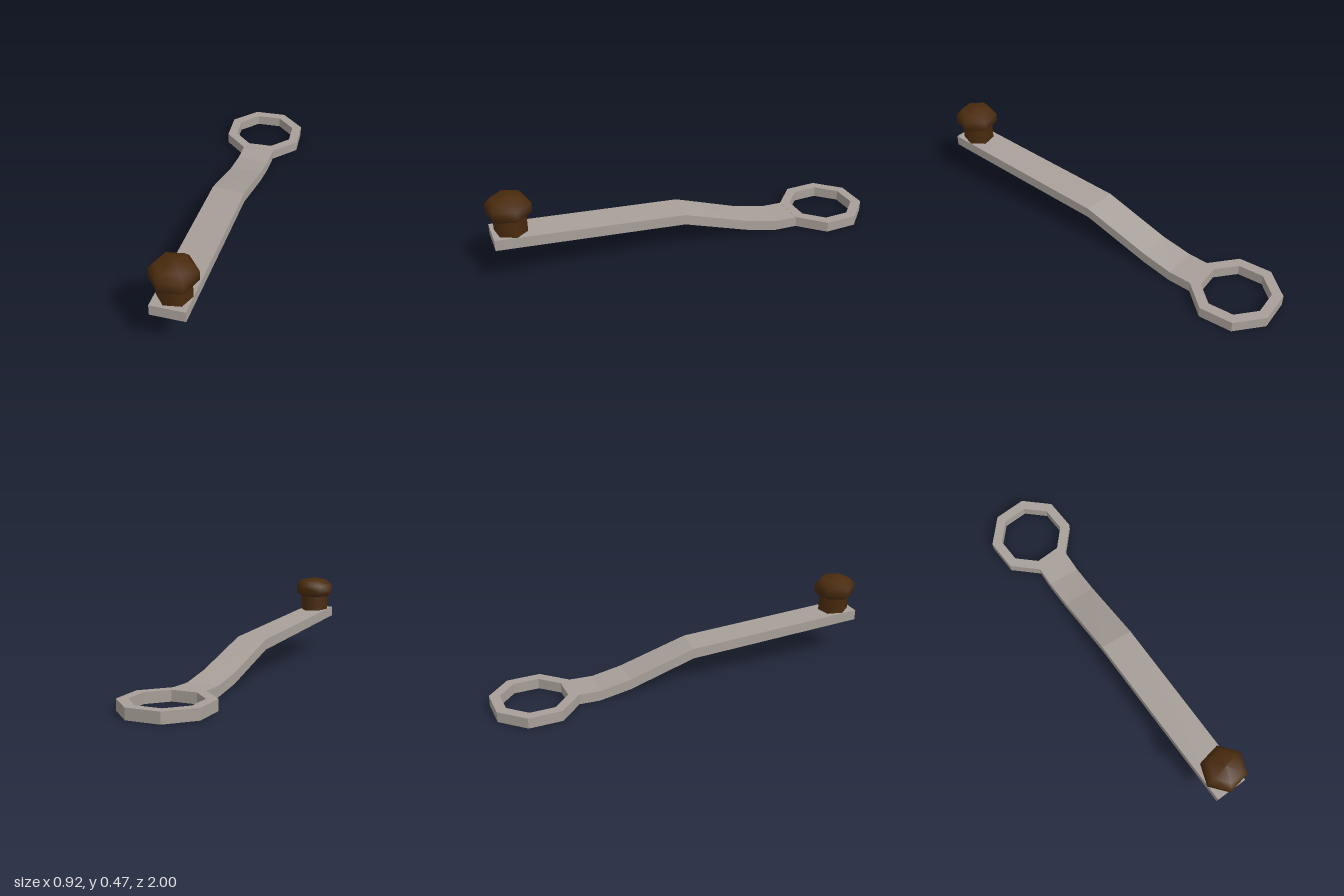
import * as THREE from 'three';

const metal = new THREE.MeshStandardMaterial({ color: 0xa89f99 });
metal.name = 'grey metal';
const wood = new THREE.MeshStandardMaterial({ color: 0x4a2b0e });
wood.name = 'dark wood';

function part(name, geometry, material) {
  const mesh = new THREE.Mesh(geometry, material);
  mesh.name = name;
  return mesh;
}

// Octagon with one corner pointing to the back
function octagon(PathClass, radius) {
  const points = [];
  for (let i = 0; i < 8; i++) {
    const a = Math.PI / 2 + (i * Math.PI) / 4;
    points.push(new THREE.Vector2(radius * Math.cos(a), radius * Math.sin(a)));
  }
  return new PathClass(points);
}

// Flat eight-sided ring
function ringGeometry() {
  const shape = octagon(THREE.Shape, 0.231);
  shape.holes.push(octagon(THREE.Path, 0.175));
  const g = new THREE.ExtrudeGeometry(shape, { depth: 0.057, bevelEnabled: false });
  return g.rotateX(-Math.PI / 2).translate(-0.231, 0, -0.769);
}

// Bent flat bar: a box whose five sections follow the cranked path
function armGeometry() {
  // left x, left z, right x, right z, underside y
  const sections = [
    [-0.233, -0.538, -0.068, -0.606, 0],
    [-0.2, -0.435, -0.03, -0.485, 0],
    [-0.145, -0.275, 0.02, -0.335, 0.034],
    [-0.03, 0.06, 0.14, 0.015, 0.151],
    [0.3, 0.995, 0.46, 0.938, 0.218],
  ];
  const g = new THREE.BoxGeometry(1, 1, 1, 1, 1, 4).toNonIndexed();
  const p = g.attributes.position;
  for (let i = 0; i < p.count; i++) {
    const [lx, lz, rx, rz, y] = sections[Math.round((p.getZ(i) + 0.5) * 4)];
    const onLeft = p.getX(i) < 0;
    p.setXYZ(i, onLeft ? lx : rx, y + (p.getY(i) > 0 ? 0.056 : 0), onLeft ? lz : rz);
  }
  g.computeVertexNormals();
  return g;
}

// Six-sided turned knob head
function knobGeometry() {
  const profile = [[0, 0.35], [0.083, 0.35], [0.113, 0.369], [0.113, 0.419], [0.081, 0.452], [0, 0.467]];
  return new THREE.LatheGeometry(profile.map(([r, y]) => new THREE.Vector2(r, y)), 6);
}

export function createModel() {
  const model = new THREE.Group();
  model.name = 'crankHandle';
  model.add(part('ring', ringGeometry(), metal), part('arm', armGeometry(), metal));

  const grip = new THREE.Group();
  grip.name = 'grip';
  grip.position.set(0.351, 0, 0.876);
  const stem = part('gripStem', new THREE.CylinderGeometry(0.083, 0.083, 0.1, 6, 1, true), wood);
  stem.position.y = 0.305;
  grip.add(stem, part('gripKnob', knobGeometry(), wood));
  model.add(grip);
  return model;
}
